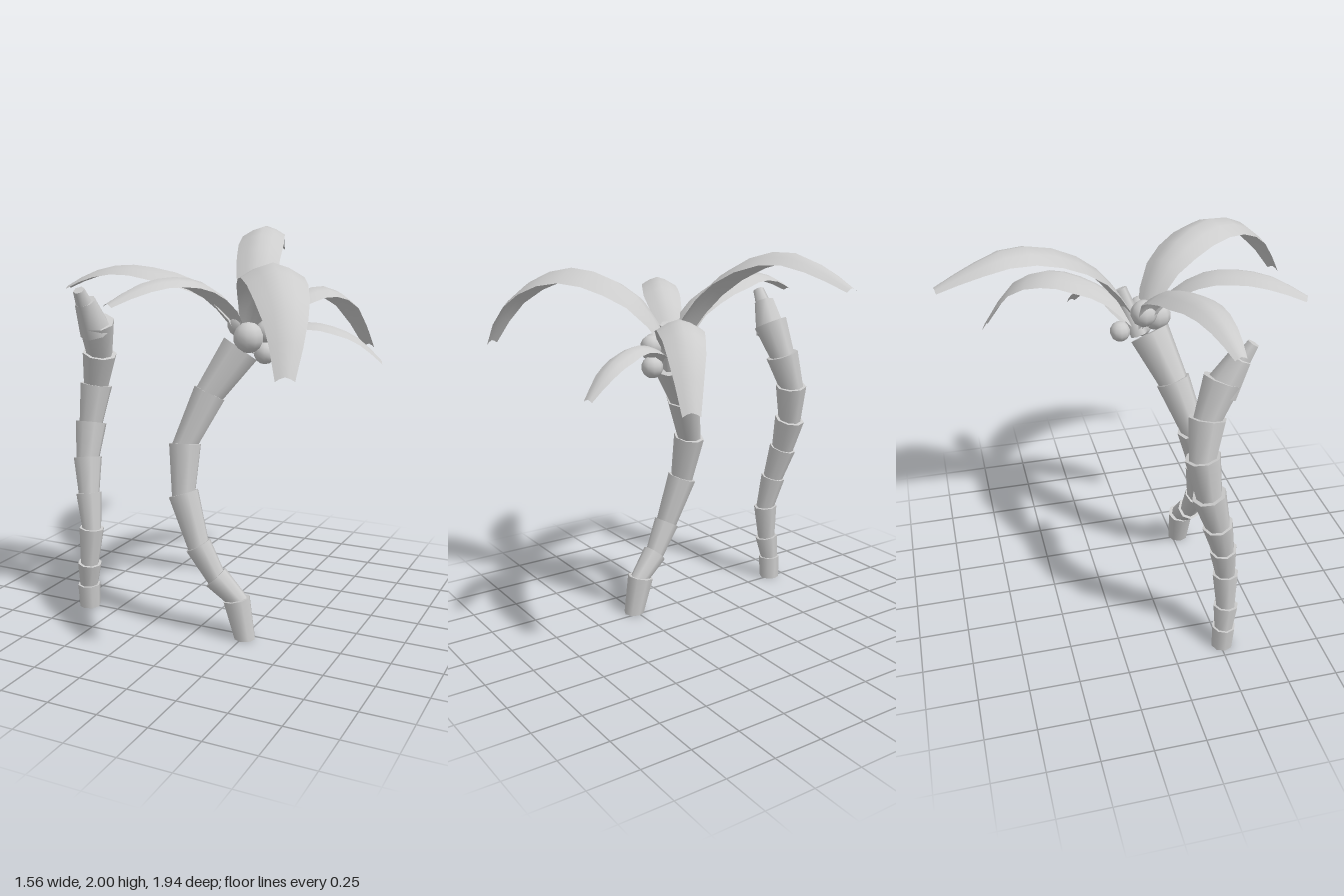
import * as THREE from 'three';

const V = (a) => new THREE.Vector3(a[0], a[1], a[2]);
const UP = new THREE.Vector3(0, 1, 0);

// tapered cylinder between two points
function taper(a, b, r0, r1, mat, sides = 8) {
  const p = V(a), q = V(b), dir = q.clone().sub(p);
  const geo = new THREE.CylinderGeometry(r1, r0, dir.length(), sides);
  geo.applyQuaternion(new THREE.Quaternion().setFromUnitVectors(UP, dir.clone().normalize()));
  const mid = p.add(q).multiplyScalar(0.5);
  geo.translate(mid.x, mid.y, mid.z);
  // the foot is cut level with the ground
  const pos = geo.attributes.position;
  for (let i = 0; i < pos.count; i++) {
    if (pos.getY(i) < 0.035 && a[1] < 0.01) pos.setY(i, 0);
  }
  return new THREE.Mesh(geo, mat);
}

// stacked flared rings; each point is [x, y, z, top radius]
function trunk(name, pts, mat) {
  const group = new THREE.Group();
  group.name = name;
  for (let i = 1; i < pts.length; i++) {
    const a = V(pts[i - 1]), b = V(pts[i]);
    // sink each ring a little into the one below
    if (i > 1) a.addScaledVector(b.clone().sub(a).normalize(), -0.03);
    const ring = taper(a.toArray(), b.toArray(), i > 1 ? pts[i][3] * 0.7 : pts[0][3], pts[i][3], mat);
    ring.name = 'trunkRing' + i;
    group.add(ring);
  }
  return group;
}

// folded leaf along a curved spine; each point is [x, y, z, half width]
function frond(name, pts, drop, mat) {
  const spine = new THREE.CatmullRomCurve3(pts.map(V));
  const rows = 10, cols = 4, pos = [], idx = [];
  const start = V(pts[0]), flat = V(pts[pts.length - 1]).sub(start).setY(0).normalize();
  for (let i = 0; i <= rows; i++) {
    const t = i / rows, p = spine.getPoint(t);
    const dir = spine.getTangent(t).setY(0).normalize().lerp(flat, 0.5).normalize();
    const f = t * (pts.length - 1), k = Math.min(Math.floor(f), pts.length - 2);
    const w = THREE.MathUtils.lerp(pts[k][3], pts[k + 1][3], f - k);
    for (let j = 0; j <= cols; j++) {
      const s = (j / cols) * 2 - 1;
      pos.push(p.x - dir.z * w * s, p.y - drop * Math.abs(s) ** 1.5 * (w / 0.12), p.z + dir.x * w * s);
      if (i < rows && j < cols) {
        const a = i * (cols + 1) + j, b = a + cols + 1;
        idx.push(a, a + 1, b, a + 1, b + 1, b);
      }
    }
  }
  const geo = new THREE.BufferGeometry();
  geo.setAttribute('position', new THREE.Float32BufferAttribute(pos, 3));
  // faces turned so their fronts point upward
  geo.setIndex(idx.reverse());
  geo.computeVertexNormals();
  const mesh = new THREE.Mesh(geo, mat);
  mesh.name = name;
  return mesh;
}

export function createModel() {
  const model = new THREE.Group();
  model.name = 'palmTrees';
  const grey = new THREE.MeshStandardMaterial({ color: 0xcccccc });
  grey.name = 'pale grey';
  grey.side = THREE.DoubleSide;

  // leaning trunk with a crown
  model.add(trunk('curvedTrunk', [
    [0.26, 0, 0.285, 0.055], [0.215, 0.2, 0.285, 0.07], [0.11, 0.305, 0.305, 0.066],
    [0.02, 0.465, 0.32, 0.068], [-0.07, 0.715, 0.3, 0.078], [-0.085, 0.955, 0.25, 0.083],
    [0.01, 1.205, 0.165, 0.088], [0.135, 1.42, 0.075, 0.105],
  ], grey));

  // broken trunk without leaves
  model.add(trunk('brokenTrunk', [
    [-0.665, 0, 0.26, 0.055], [-0.665, 0.125, 0.265, 0.06], [-0.65, 0.25, 0.275, 0.064],
    [-0.635, 0.445, 0.27, 0.066], [-0.665, 0.625, 0.24, 0.068], [-0.695, 0.805, 0.195, 0.075],
    [-0.7, 0.985, 0.145, 0.083], [-0.68, 1.185, 0.115, 0.085], [-0.635, 1.36, 0.145, 0.09],
    [-0.605, 1.53, 0.215, 0.092],
  ], grey));
  const splinter = taper([-0.61, 1.48, 0.21], [-0.62, 1.64, 0.29], 0.085, 0.055, grey, 7);
  splinter.name = 'brokenTop';
  const tip = taper([-0.62, 1.58, 0.27], [-0.62, 1.7, 0.345], 0.05, 0.03, grey, 6);
  tip.name = 'brokenTip';
  model.add(splinter, tip);

  // crown of arching leaves
  const fronds = {
    backFrond: [[0.17, 1.5, 0.0, 0.04], [0.14, 1.68, -0.1, 0.085], [0.09, 1.84, -0.23, 0.11],
      [0.03, 1.96, -0.42, 0.12], [-0.03, 2.0, -0.62, 0.11], [-0.07, 1.95, -0.8, 0.075], [-0.09, 1.87, -0.97, 0.035]],
    backLeftFrond: [[0.18, 1.47, 0.0, 0.03], [0.25, 1.6, -0.1, 0.07], [0.32, 1.68, -0.25, 0.1],
      [0.39, 1.7, -0.4, 0.105], [0.47, 1.62, -0.56, 0.085], [0.55, 1.37, -0.715, 0.04]],
    leftFrond: [[0.2, 1.44, 0.0, 0.03], [0.31, 1.52, -0.05, 0.055], [0.42, 1.55, -0.08, 0.065],
      [0.54, 1.53, -0.13, 0.07], [0.66, 1.47, -0.18, 0.055], [0.77, 1.36, -0.215, 0.025]],
    frontLeftFrond: [[0.17, 1.5, 0.05, 0.04], [0.26, 1.72, 0.15, 0.1], [0.36, 1.83, 0.3, 0.135],
      [0.47, 1.87, 0.48, 0.14], [0.58, 1.81, 0.66, 0.125], [0.67, 1.67, 0.82, 0.085], [0.72, 1.46, 0.95, 0.04]],
    frontRightFrond: [[0.14, 1.47, 0.04, 0.03], [0.1, 1.65, 0.16, 0.075], [0.04, 1.76, 0.31, 0.095],
      [-0.03, 1.79, 0.45, 0.09], [-0.11, 1.77, 0.61, 0.075], [-0.195, 1.69, 0.77, 0.035]],
    rightFrond: [[0.12, 1.47, 0.04, 0.03], [0.03, 1.66, 0.07, 0.08], [-0.12, 1.76, 0.11, 0.11],
      [-0.3, 1.81, 0.16, 0.115], [-0.46, 1.82, 0.195, 0.09], [-0.62, 1.78, 0.225, 0.06], [-0.75, 1.71, 0.245, 0.03]],
  };
  for (const [name, pts] of Object.entries(fronds)) model.add(frond(name, pts, 0.055, grey));

  // coconuts under the leaves
  [[0.2, 1.485, 0.125, 0.076], [0.265, 1.51, 0.055, 0.056], [0.26, 1.405, 0.06, 0.055],
    [0.12, 1.54, 0.04, 0.068], [0.13, 1.45, -0.08, 0.052]].forEach(([x, y, z, r], i) => {
    const nut = new THREE.Mesh(new THREE.SphereGeometry(r, 10, 7), grey);
    nut.position.set(x, y, z);
    nut.name = 'coconut' + (i + 1);
    model.add(nut);
  });

  // short bud in the middle of the crown
  const bud = taper([0.17, 1.4, 0.03], [0.245, 1.63, -0.05], 0.045, 0.032, grey, 6);
  bud.name = 'crownBud';
  model.add(bud);
  return model;
}
